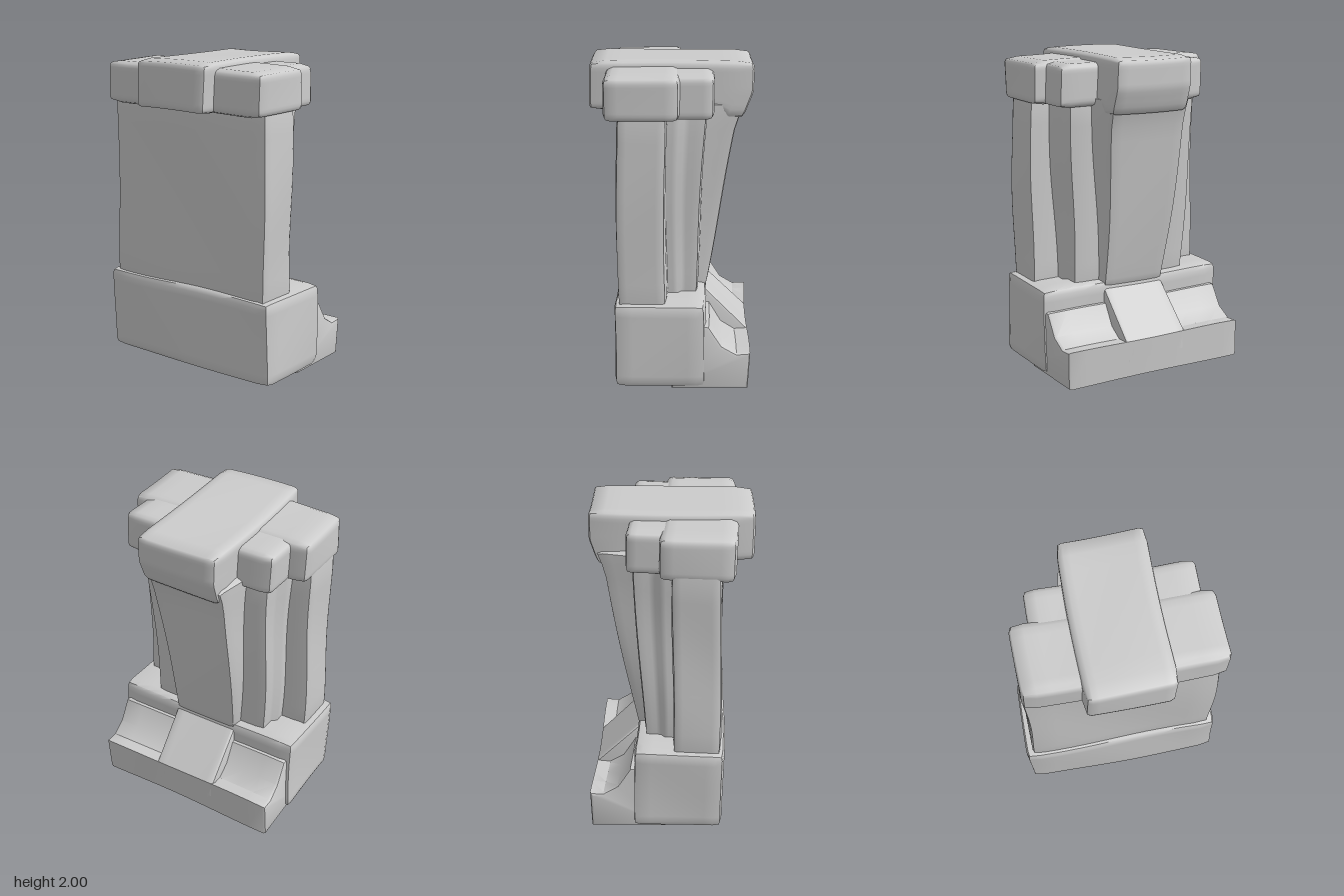
import * as THREE from 'three';
import { mergeVertices, toCreasedNormals } from 'three/addons/utils/BufferGeometryUtils.js';

const material = new THREE.MeshStandardMaterial({ color: 0xcccccc });
const lerp = THREE.MathUtils.lerp;

// Gentle unevenness of worn stone, shared by all parts
function weather(p) {
  const { x, y, z } = p;
  p.x += 0.008 * Math.sin(5.3 * y + 4.1 * z + 0.6);
  p.z += 0.007 * Math.sin(4.7 * x + 3.9 * y + 1.1);
  p.y += 0.005 * Math.sin(6.1 * x + 3.3 * z) * Math.min(1, y * 5);
  return p;
}

function editVertices(geometry, rule) {
  const pos = geometry.attributes.position;
  const p = new THREE.Vector3();
  for (let i = 0; i < pos.count; i++) {
    p.fromBufferAttribute(pos, i);
    rule(p);
    pos.setXYZ(i, p.x, p.y, p.z);
  }
  return geometry;
}

function addMesh(group, name, geometry) {
  const mesh = new THREE.Mesh(geometry, material);
  mesh.name = name;
  group.add(mesh);
}

// Worn stone block between two corners; reshape(p, t) may taper it, t = 0..1 upwards
function block(group, name, min, max, radius, reshape) {
  const lo = new THREE.Vector3(...min), hi = new THREE.Vector3(...max);
  const size = hi.clone().sub(lo);
  const innerLo = lo.clone().addScalar(radius), innerHi = hi.clone().subScalar(radius);
  const inner = new THREE.Vector3();
  let geo = new THREE.BoxGeometry(size.x, size.y, size.z, 14, 14, 10);
  geo.deleteAttribute('uv');
  geo.deleteAttribute('normal');
  geo.translate((lo.x + hi.x) / 2, (lo.y + hi.y) / 2, (lo.z + hi.z) / 2);
  geo = mergeVertices(geo, 1e-4);
  editVertices(geo, (p) => {
    inner.copy(p).clamp(innerLo, innerHi);
    p.sub(inner).normalize().multiplyScalar(radius).add(inner);
    if (reshape) reshape(p, (p.y - lo.y) / size.y);
    weather(p);
  });
  addMesh(group, name, toCreasedNormals(geo, 0.9));
}

// Side profile as [distance backwards, height], swept across x
function sweep(group, name, profile, x0, x1) {
  const bevel = 0.02;
  const shape = new THREE.Shape(profile.map(([b, y]) => new THREE.Vector2(b, y)));
  const geo = new THREE.ExtrudeGeometry(shape, {
    depth: x1 - x0 - 2 * bevel, steps: 10, bevelThickness: bevel,
    bevelSize: bevel, bevelOffset: -bevel, bevelSegments: 2,
  });
  geo.rotateY(Math.PI / 2).translate(x0 + bevel, 0, 0);
  editVertices(geo, weather);
  addMesh(group, name, toCreasedNormals(geo, 0.6));
}

export function createModel() {
  const model = new THREE.Group();
  model.name = 'stonePillar';

  // Foot
  block(model, 'base', [-0.65, 0.015, -0.21], [0.65, 0.56, 0.355], 0.04);
  sweep(model, 'backSkirt',
    [[0, 0], [0.475, 0], [0.485, 0.24], [0.4, 0.235], [0.31, 0.29], [0.23, 0.42], [0, 0.44]],
    -0.62, 0.63);
  sweep(model, 'backRamp',
    [[0, 0.02], [0.475, 0.01], [0.485, 0.24], [0.21, 0.51], [0, 0.54]], -0.22, 0.22);

  // Shaft: front slab, fluted middle and leaning pier
  block(model, 'frontSlab', [-0.605, 0.5, 0.03], [0.605, 1.74, 0.33], 0.03);
  block(model, 'middleShaft', [-1, 0.5, -0.16], [1, 1.74, 0.1], 0.03, (p, t) => {
    p.x *= lerp(0.43, 0.48, t);
    if (p.z < 0) p.z *= lerp(0.95, 1.35, t);
    if (p.z < -0.05) p.x *= 0.93;
  });
  block(model, 'leaningPier', [-1, 0.48, -1], [1, 1.75, 0], 0.06, (p, t) => {
    const depth = t < 0.9 ? lerp(0.2, 0.4, t / 0.9) : lerp(0.4, 0.46, (t - 0.9) / 0.1);
    // Wider where it joins the shaft
    p.x *= lerp(0.21, 0.265, t) * (1 + 0.3 * (1 + p.z));
    p.z *= depth;
  });

  // Cap: long centre block over stepped side blocks
  block(model, 'capWide', [-0.6, 1.69, -0.045], [0.62, 1.96, 0.41], 0.045);
  block(model, 'capStep', [-0.485, 1.685, -0.25], [0.54, 1.95, 0.1], 0.04);
  block(model, 'capCentre', [-0.255, 1.69, -0.495], [0.285, 1.995, 0.51], 0.04, (p, t) => {
    if (p.z < -0.3) {
      p.z += 0.06 * Math.max(0, 1 - t * 2.5);
      p.y -= 0.05 * Math.max(0, 1 - t * 2.5);
    }
  });
  return model;
}
